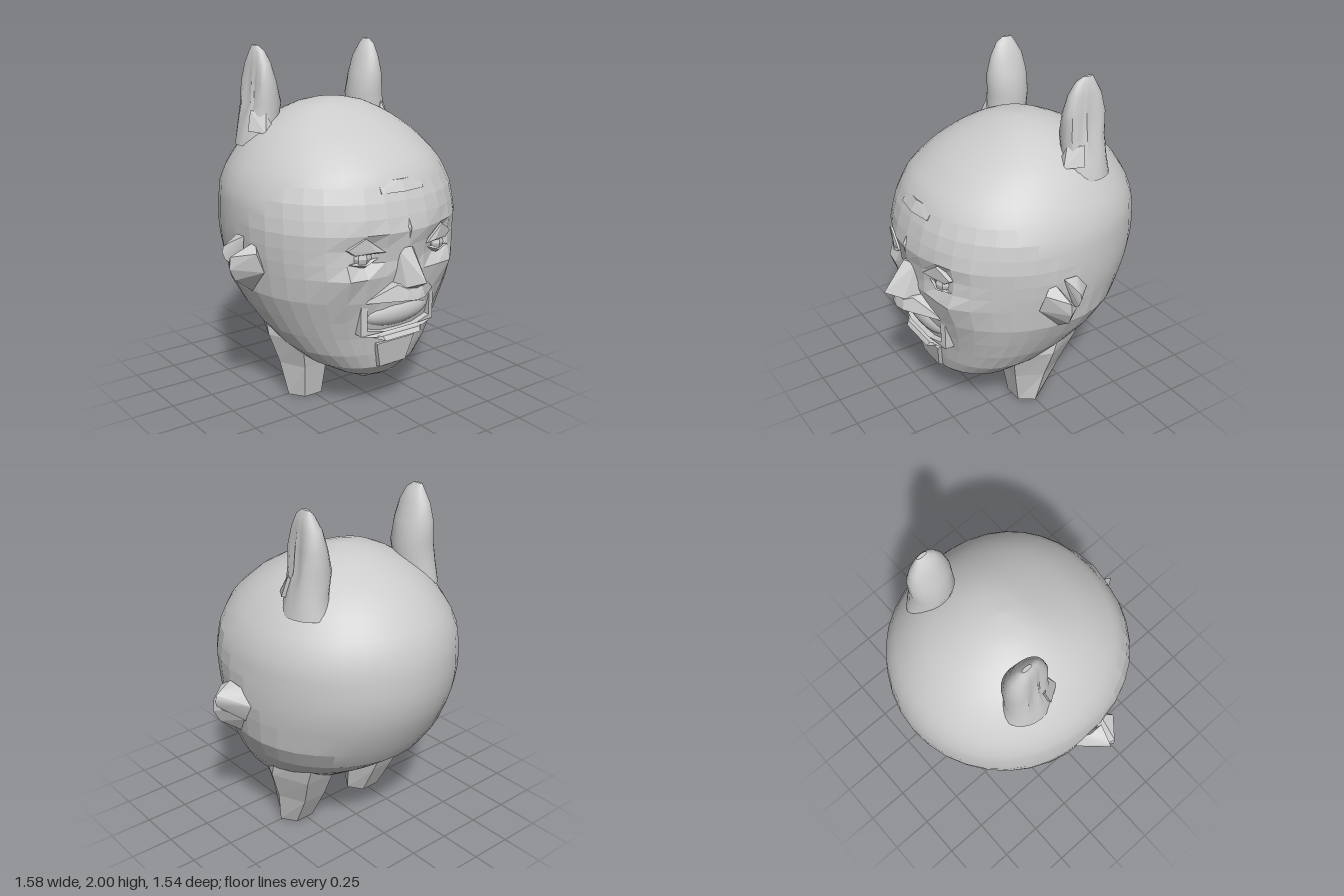
import * as THREE from 'three';
import { toCreasedNormals } from 'three/addons/utils/BufferGeometryUtils.js';
import { ConvexGeometry } from 'three/addons/geometries/ConvexGeometry.js';

const smooth = new THREE.MeshStandardMaterial({ color: 0xcccccc });
const flat = new THREE.MeshStandardMaterial({ color: 0xcccccc, flatShading: true });

// Skins rings of points; keep(centre) selects the quads, closed adds end caps.
function loft(rows, sides, point, keep = () => true, closed = true) {
  const pos = [], index = [], pts = [];
  rows.forEach((row, i) => {
    for (let j = 0; j < sides; j++) {
      const p = point(row, (j / sides) * Math.PI * 2, i);
      pts.push(p);
      pos.push(p.x, p.y, p.z);
    }
  });
  const centre = new THREE.Vector3();
  for (let i = 0; i < rows.length - 1; i++) {
    for (let j = 0; j < sides; j++) {
      const a = i * sides + j, b = i * sides + (j + 1) % sides;
      centre.copy(pts[a]).add(pts[b]).add(pts[a + sides]).add(pts[b + sides]).multiplyScalar(0.25);
      if (keep(centre)) index.push(a, b, b + sides, a, b + sides, a + sides);
    }
  }
  if (closed) {
    const top = (rows.length - 1) * sides;
    for (let j = 1; j < sides - 1; j++) index.push(0, j + 1, j, top, top + j, top + j + 1);
  }
  const g = new THREE.BufferGeometry();
  g.setAttribute('position', new THREE.Float32BufferAttribute(pos, 3));
  g.setIndex(index);
  g.computeVertexNormals();
  return g;
}

// Faceted hull from points; points off the middle are mirrored when both is set.
function hull(points, side = 1, both = false) {
  const v = [];
  for (const [x, y, z] of points) {
    v.push(new THREE.Vector3(x * side, y, z));
    if (both && x) v.push(new THREE.Vector3(-x, y, z));
  }
  return new ConvexGeometry(v);
}

// Head sections: height, half width, front z, back z
const headRows = [
  [0.17, 0.13, 0.37, 0.1], [0.2, 0.2, 0.42, 0.0], [0.27, 0.33, 0.48, -0.16],
  [0.36, 0.43, 0.5, -0.29], [0.47, 0.51, 0.52, -0.45], [0.58, 0.57, 0.55, -0.59],
  [0.7, 0.625, 0.57, -0.67], [0.84, 0.645, 0.6, -0.73], [0.92, 0.655, 0.61, -0.755],
  [1.0, 0.66, 0.62, -0.77], [1.08, 0.66, 0.63, -0.775], [1.16, 0.655, 0.61, -0.77],
  [1.24, 0.645, 0.585, -0.76],
  [1.32, 0.61, 0.55, -0.73], [1.37, 0.58, 0.525, -0.7], [1.42, 0.545, 0.48, -0.665],
  [1.47, 0.505, 0.42, -0.62], [1.52, 0.455, 0.36, -0.57], [1.56, 0.405, 0.29, -0.515],
  [1.6, 0.35, 0.22, -0.45], [1.64, 0.28, 0.13, -0.37], [1.675, 0.2, 0.05, -0.29],
  [1.695, 0.11, -0.02, -0.21], [1.703, 0.0005, -0.0995, -0.1005],
];
const bump = (x, y, cx, cy, r) => Math.exp(-((x - cx) ** 2 + (y - cy) ** 2) / (r * r));

function headPoint([y, w, front, back], a) {
  const mid = Math.max(-0.1, (front + back) / 2);
  let c = Math.cos(a), s = Math.sin(a);
  if (c > 0) { // squarer towards the face
    c **= 0.92;
    s = Math.sign(s) * Math.abs(s) ** 0.92;
  }
  const x = w * s;
  let z = mid + c * (c > 0 ? front - mid : mid - back);
  // eye sockets and cheekbones
  if (c > 0.2) z += 0.055 * bump(Math.abs(x), y, 0.32, 0.82, 0.12) - 0.06 * bump(Math.abs(x), y, 0.24, 0.95, 0.1);
  const lump = 1 + 0.006 * Math.sin(5 * a + 7 * y);
  return new THREE.Vector3(x * lump, y, z);
}
const isCranium = (p) => p.y > 1.33 - 0.9 * Math.max(0, 0.3 - p.z);

// Upright ear sections: height, x, z, half width, half depth
const earRows = [
  [1.45, 0.385, -0.275, 0.12, 0.15], [1.56, 0.385, -0.275, 0.11, 0.125],
  [1.68, 0.365, -0.27, 0.115, 0.125], [1.8, 0.373, -0.27, 0.09, 0.125],
  [1.9, 0.375, -0.27, 0.063, 0.1], [1.97, 0.38, -0.268, 0.035, 0.06],
  [2.0, 0.385, -0.28, 0.01, 0.03],
];
const earDent = [0, 0.2, 0.5, 0.55, 0.45, 0.2, 0];

// Leg sections: height, x, z, half width, half depth
const legRows = [
  [0, 0.265, 0.005, 0.115, 0.085], [0.2, 0.27, -0.03, 0.145, 0.155],
  [0.38, 0.29, -0.05, 0.185, 0.215], [0.55, 0.31, -0.1, 0.17, 0.23],
];

// Mouth surround: a curved plate with an opening
function mouthFrame() {
  const outline = (h, lo, hi) => [[-h, lo + 0.02], [-h * 0.5, lo], [h * 0.5, lo], [h, lo + 0.02],
    [h, hi], [h * 0.5, hi], [0, hi], [-h * 0.5, hi], [-h, hi]].map(([x, y]) => new THREE.Vector2(x, y));
  const shape = new THREE.Shape(outline(0.25, 0.485, 0.7));
  shape.holes.push(new THREE.Path(outline(0.215, 0.515, 0.685)));
  const g = new THREE.ExtrudeGeometry(shape, { depth: 0.16, bevelEnabled: false });
  const p = g.attributes.position;
  for (let i = 0; i < p.count; i++) p.setZ(i, p.getZ(i) + 0.41 - 0.6 * p.getX(i) ** 2);
  g.computeVertexNormals();
  return g;
}

export function createModel() {
  const model = new THREE.Group();
  const add = (name, geometry, material = flat, parent = model) => {
    const mesh = new THREE.Mesh(geometry, material);
    mesh.name = name;
    parent.add(mesh);
    return mesh;
  };

  // Head: smooth cranium meeting a faceted face and jaw
  add('cranium', loft(headRows, 36, headPoint, isCranium, false), smooth);
  add('faceAndJaw', loft(headRows, 36, headPoint, (p) => !isCranium(p), false));
  add('chinBase', hull([[0.13, 0.165, 0.24], [0.09, 0.165, 0.35], [0.08, 0.165, 0.13],
    [0.2, 0.21, 0.24], [0.1, 0.24, 0.43], [0.1, 0.22, 0.05]], 1, true));

  // Nose, brow and forehead
  add('nose', hull([[0, 0.83, 0.77], [0.06, 0.79, 0.68], [0, 0.78, 0.69], [0, 1.0, 0.64],
    [0.05, 0.98, 0.59], [0.09, 0.79, 0.55]], 1, true));
  add('browCrest', hull([[0, 1.02, 0.62], [0, 1.17, 0.6], [0.02, 1.1, 0.61], [0, 1.1, 0.64]], 1, true));
  add('foreheadFold', hull([[0.14, 1.345, 0.52], [0.14, 1.285, 0.56], [0, 1.285, 0.58],
    [0, 1.345, 0.545], [0.14, 1.28, 0.5]], 1, true));

  // Mouth and chin
  add('upperLip', hull([[0.09, 0.8, 0.64], [0.25, 0.69, 0.53], [0.06, 0.72, 0.69], [0.05, 0.78, 0.68],
    [0, 0.715, 0.7], [0.09, 0.8, 0.5], [0.25, 0.69, 0.4]], 1, true));
  add('mouthSurround', mouthFrame());
  const lips = add('lips', new THREE.SphereGeometry(1, 32, 16), smooth);
  lips.scale.set(0.235, 0.09, 0.09);
  lips.position.set(0, 0.605, 0.485);
  add('lowerLipShelf', hull([[0.13, 0.495, 0.57], [0.12, 0.47, 0.585], [0.2, 0.49, 0.5],
    [0.1, 0.45, 0.5], [0.2, 0.5, 0.42]], 1, true));
  add('chinPlate', hull([[0.13, 0.43, 0.52], [0.09, 0.28, 0.495], [0.12, 0.44, 0.42], [0.1, 0.26, 0.42]], 1, true));

  for (const s of [1, -1]) {
    const side = s > 0 ? 'left' : 'right';

    // Eye with slanted lids
    const eye = new THREE.Group();
    eye.name = side + 'Eye';
    model.add(eye);
    add('eyeball', new THREE.SphereGeometry(0.06, 8, 6), flat, eye).position.set(s * 0.25, 0.955, 0.52);
    add('upperLid', hull([[0.14, 0.98, 0.6], [0.26, 1.07, 0.585], [0.35, 1.01, 0.55], [0.31, 0.98, 0.56],
      [0.2, 0.99, 0.6], [0.15, 0.98, 0.48], [0.26, 1.06, 0.46], [0.34, 0.99, 0.43]], s), flat, eye);
    add('lowerLid', hull([[0.16, 0.95, 0.57], [0.25, 0.92, 0.58], [0.34, 0.93, 0.54], [0.25, 0.9, 0.55],
      [0.16, 0.93, 0.48], [0.34, 0.91, 0.44]], s), flat, eye);

    // Side ear: faceted front flap and smoother rear rim
    add(side + 'SideEarFlap', hull([[0.62, 0.7, 0.03], [0.775, 0.86, 0.06], [0.74, 0.79, 0.05], [0.62, 0.84, 0.16],
      [0.66, 0.95, 0.15], [0.77, 0.93, 0.06], [0.62, 1.0, 0.08], [0.62, 0.8, -0.05], [0.75, 0.88, 0.01]], s));
    add(side + 'SideEarRim', toCreasedNormals(hull([[0.79, 0.95, 0.01], [0.78, 0.91, 0.02], [0.74, 1.0, 0.02],
      [0.67, 1.025, 0.04], [0.67, 1.02, -0.04], [0.72, 0.94, -0.05], [0.65, 0.92, -0.13],
      [0.63, 0.79, -0.06], [0.63, 0.98, -0.1], [0.78, 0.98, 0.01]], s), 0.9), smooth);

    // Upright ear: two grooves beside a ridge hollow its outer face
    add(side + 'UprightEar', toCreasedNormals(loft(earRows, 24, ([y, cx, cz, hw, hd], a, i) => {
      const d = Math.cos(a - s * 1.4), hollow = Math.max(0, d) ** 6 - 0.5 * Math.max(0, d) ** 60;
      const r = 1 - earDent[i] * hollow;
      return new THREE.Vector3(s * cx + hw * r * Math.sin(a), y, cz + hd * r * Math.cos(a));
    }), 0.55), smooth);
    add(side + 'EarTuft', hull([[0.4, 1.64, -0.15], [0.43, 1.53, -0.11], [0.36, 1.53, -0.12],
      [0.49, 1.54, -0.2], [0.35, 1.5, -0.25], [0.46, 1.65, -0.22]], s));

    // Stubby leg
    add(side + 'Leg', loft(legRows, 6, ([y, cx, cz, hw, hd], a) => new THREE.Vector3(
      s * cx + hw * Math.sin(a + Math.PI / 6), y, cz + (hd / 0.87) * Math.cos(a + Math.PI / 6))));
  }
  return model;
}
